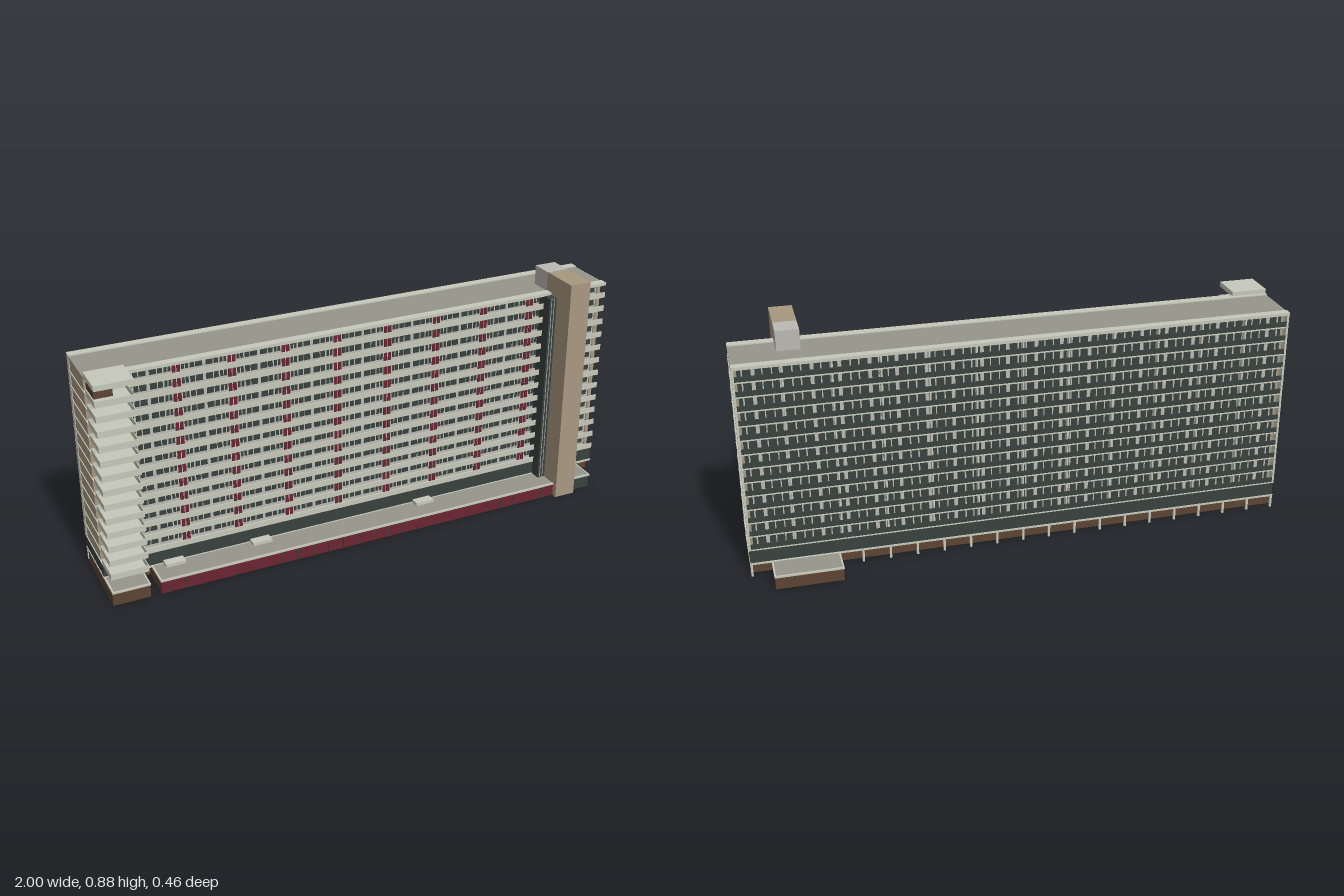
import * as THREE from 'three';
import { mergeGeometries } from 'three/addons/utils/BufferGeometryUtils.js';

const mat = (color) => new THREE.MeshStandardMaterial({ color });
const M = {
  tan: mat(0xa89880), light: mat(0xc6c8ba), roof: mat(0x95958c), dark: mat(0x38423f),
  red: mat(0x6a2530), brown: mat(0x5c4433), grey: mat(0xbab9b2), soffit: mat(0xa39b95),
};

const FLOORS = 13, Y0 = 0.105, H = 0.0535;   // storeys above the ground floor
const ZF = 0.077, ZB = -0.093;               // front and back wall planes
const GF = 0.107, GB = -0.12;                // gallery and balcony edges
const floorY = (i) => Y0 + i * H;

// Box from its limits
function box(x0, x1, y0, y1, z0, z1) {
  return new THREE.BoxGeometry(x1 - x0, y1 - y0, z1 - z0)
    .translate((x0 + x1) / 2, (y0 + y1) / 2, (z0 + z1) / 2);
}

export function createModel() {
  const model = new THREE.Group();
  const add = (name, material, ...geos) => {
    const mesh = new THREE.Mesh(geos.length > 1 ? mergeGeometries(geos) : geos[0], material);
    mesh.name = name;
    model.add(mesh);
  };

  // Hollow ground-floor block, open underneath
  const shell = (name, x0, x1, z0, z1, ceiling, t = 0.005) => {
    add(name + 'Walls', M.brown,
      box(x0, x1, 0, 0.046, z1 - t, z1), box(x0, x1, 0, 0.046, z0, z0 + t),
      box(x0, x0 + t, 0, 0.046, z0 + t, z1 - t), box(x1 - t, x1, 0, 0.046, z0 + t, z1 - t));
    add(name + 'Ceiling', ceiling, box(x0 + t, x1 - t, 0.04, 0.046, z0 + t, z1 - t));
  };
  // Roof of a low block with a pale rim
  const lowRoof = (name, x0, x1, z0, z1) => {
    add(name + 'Rim', M.light,
      box(x0, x1, 0.046, 0.053, z1 - 0.006, z1), box(x0, x1, 0.046, 0.053, z0, z0 + 0.006),
      box(x0, x0 + 0.006, 0.046, 0.053, z0, z1), box(x1 - 0.006, x1, 0.046, 0.053, z0, z1));
    add(name + 'Roof', M.roof, box(x0 + 0.005, x1 - 0.005, 0.046, 0.051, z0 + 0.005, z1 - 0.005));
  };

  // Ground floor: core, front podium, rear block, stair base
  shell('core', -1, 1, ZB, ZF, M.soffit);
  shell('podium', -0.828, 0.923, ZF, 0.208, M.dark);
  lowRoof('podium', -0.83, 0.925, ZF, 0.212);
  shell('rearBlock', 0.682, 0.923, -0.226, ZB, M.dark);
  lowRoof('rearBlock', 0.68, 0.925, -0.229, -0.118);
  shell('stairBase', -1, -0.867, ZF, 0.21, M.dark);
  lowRoof('stairBase', -1, -0.865, ZF, 0.212);
  add('overhangSlab', M.light, box(-1, 1, 0.046, 0.053, GB, GF));
  add('groundBand', M.dark, box(-0.998, 0.998, 0.053, Y0, -0.117, 0.103));

  // Podium shopfront and the glazing beside the tower
  const mullions = [];
  for (let x = -0.8; x < 0.75; x += 0.06) mullions.push(box(x, x + 0.003, 0, 0.046, 0.209, 0.2115));
  add('shopfront', M.red, box(-0.828, 0.757, 0, 0.046, 0.207, 0.21));
  add('shopfrontMullions', M.dark, ...mullions);
  add('entranceGlazing', M.dark, box(0.84, 0.921, 0, 0.046, 0.207, 0.21));
  add('skylights', M.light, ...[-0.75, -0.425, 0.232].map(
    (x) => box(x - 0.036, x + 0.036, 0.051, 0.063, 0.104, 0.138)));

  // Posts under the rear overhang
  const posts = [];
  for (let i = 0; i <= 20; i++) {
    const x = -0.995 + i * 0.0995;
    if (x < 0.66 || x > 0.94) posts.push(box(x - 0.004, x + 0.004, 0, 0.047, -0.12, -0.112));
  }
  add('rearPosts', M.light, ...posts);

  // Slab body: tan end walls, pale front wall, dark rear glazing
  const top = 0.798;
  add('endWalls', M.tan, ...[-1, 1].map((s) => box(s * 0.99 - 0.008, s * 0.99 + 0.008, 0.053, top, ZB, ZF)));
  add('frontWall', M.grey, box(-0.982, 0.982, Y0, top, ZF - 0.012, ZF - 0.004));
  add('rearGlazing', M.dark, box(-0.982, 0.982, Y0, top, ZB, ZB + 0.006));
  add('rearEndFins', M.light, ...[-1, 1].map((s) => box(s * 0.996 - 0.004, s * 0.996 + 0.004, Y0, top, GB, ZB)));

  // Storeys
  const slabs = [], parapets = [], rails = [], fins = [], windows = [], doors = [], frames = [];
  const stairSlabs = [], stairParapets = [];
  const BAYS = 20, W = 1.96 / BAYS;
  for (let i = 0; i < FLOORS; i++) {
    const y = floorY(i), h = y + H;
    slabs.push(box(-1.001, 1.001, y - 0.002, y + 0.002, GB + 0.001, GF - 0.001));
    parapets.push(box(-1, 1, y - 0.001, y + 0.02, GF - 0.003, GF));
    rails.push(box(-0.992, 0.992, y + 0.004, y + 0.023, GB, GB + 0.003));
    for (let b = 0; b < BAYS; b++) {
      const x = -0.98 + b * W;
      // Mirrored pairs of flats
      const at = (a, c) => (b % 2 ? [x + W - c, x + W - a] : [x + a, x + c]);
      windows.push(box(...at(0.006, 0.03), y + 0.014, h - 0.005, ZF - 0.006, ZF - 0.002));
      windows.push(box(...at(0.034, 0.05), y + 0.014, h - 0.005, ZF - 0.006, ZF - 0.002));
      windows.push(box(...at(0.056, 0.066), y + 0.014, h - 0.005, ZF - 0.006, ZF - 0.002));
      windows.push(box(...at(0.07, 0.079), y + 0.014, h - 0.005, ZF - 0.006, ZF - 0.002));
      doors.push(box(...at(0.084, 0.096), y + 0.002, h - 0.005, ZF - 0.006, ZF - 0.001));
      frames.push(box(...at(0.012, 0.017), y + 0.002, h - 0.002, ZB - 0.003, ZB + 0.001));
      frames.push(box(...at(0.045, 0.058), y + 0.002, h - 0.002, ZB - 0.003, ZB + 0.001));
      frames.push(box(...at(0.08, 0.084), y + 0.002, h - 0.002, ZB - 0.003, ZB + 0.001));
    }
    for (let b = 1; b < 12; b++) {
      const x = -1 + b / 6;
      fins.push(box(x - 0.003, x + 0.003, y + 0.002, h - 0.002, GB + 0.003, ZB));
    }
    // Projecting landings at the left corner of the front
    stairSlabs.push(box(-1, -0.866, y - 0.002, y + 0.002, GF - 0.002, 0.211));
    stairParapets.push(box(-1, -0.866, y - 0.002, y + 0.021, 0.208, 0.212),
      box(-1, -0.997, y - 0.002, y + 0.021, GF, 0.208),
      box(-0.869, -0.866, y - 0.002, y + 0.021, GF, 0.208));
  }
  add('floorSlabs', M.light, ...slabs);
  add('galleryParapets', M.light, ...parapets);
  add('balconyRails', M.dark, ...rails);
  add('balconyPartitions', M.light, ...fins);
  add('frontWindows', M.dark, ...windows);
  add('frontDoors', M.red, ...doors);
  add('rearFrames', M.grey, ...frames);
  add('landingSlabs', M.light, ...stairSlabs);
  add('landingParapets', M.light, ...stairParapets);
  add('landingCanopy', M.light, box(-1, -0.866, 0.803, 0.822, 0.09, 0.212));
  add('landingScreen', M.brown, box(-0.998, -0.935, 0.772, 0.803, 0.112, 0.2));

  // Main roof with raised pale edges
  add('roofDeck', M.roof, box(-1, 1, 0.794, 0.802, ZB, ZF));
  add('roofEdges', M.light, box(-1, 1, 0.795, 0.806, ZF, 0.109), box(-1, 1, 0.795, 0.806, -0.124, ZB));

  // Lift tower, its rooftop plant room and the glazed link
  add('liftTower', M.tan, box(0.757, 0.84, 0, 0.875, ZF, 0.231));
  add('plantRoom', M.grey, box(0.757, 0.84, 0.8, 0.875, -0.007, ZF));
  add('glazedLink', M.dark, box(0.727, 0.757, 0.051, 0.797, ZF, 0.145));
  add('linkMullions', M.grey, ...[0.734, 0.745].map((x) => box(x, x + 0.002, 0.053, 0.797, 0.144, 0.147)));
  return model;
}
